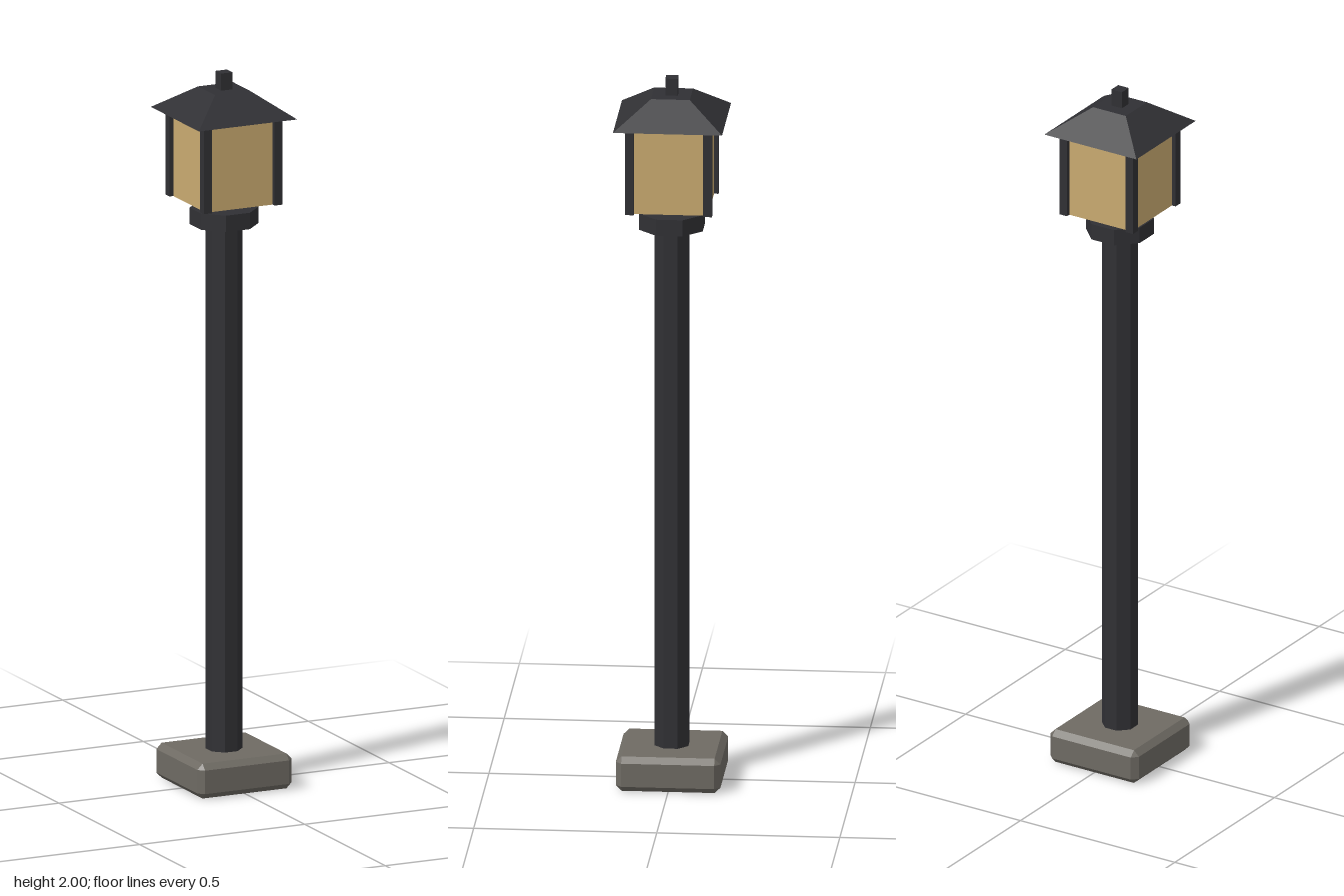
import * as THREE from 'three';
import { ConvexGeometry } from 'three/addons/geometries/ConvexGeometry.js';

const flat = (color) => new THREE.MeshStandardMaterial({ color, flatShading: true });

// Prism or frustum with flat sides facing the axes; half-widths measured to the flats
function prism(sides, topHalf, bottomHalf, y0, y1) {
  const k = 1 / Math.cos(Math.PI / sides);
  return new THREE.CylinderGeometry(topHalf * k, bottomHalf * k, y1 - y0, sides)
    .rotateY(Math.PI / sides)
    .translate(0, (y0 + y1) / 2, 0);
}

// Box with every edge and corner chamfered
function chamferedBox(hx, hy, hz, c) {
  const points = [];
  for (const x of [-1, 1]) for (const y of [-1, 1]) for (const z of [-1, 1]) {
    points.push(
      new THREE.Vector3(x * hx, y * (hy - c), z * (hz - c)),
      new THREE.Vector3(x * (hx - c), y * hy, z * (hz - c)),
      new THREE.Vector3(x * (hx - c), y * (hy - c), z * hz),
    );
  }
  return new ConvexGeometry(points);
}

export function createModel() {
  const group = new THREE.Group();
  const metal = flat(0x303034);
  const stone = flat(0x6e6a63);
  const glass = flat(0xc9aa70);

  const add = (name, geometry, material, parent = group) => {
    const mesh = new THREE.Mesh(geometry, material);
    mesh.name = name;
    parent.add(mesh);
    return mesh;
  };

  // Foot and post
  add('base', chamferedBox(0.143, 0.049, 0.143, 0.016).translate(0, 0.049, 0), stone);
  add('pole', prism(8, 0.046, 0.046, 0.09, 1.58), metal);
  add('collar', prism(8, 0.087, 0.087, 1.573, 1.619), metal);

  // Lantern: glass body with a bar at each corner
  const lantern = new THREE.Group();
  lantern.name = 'lantern';
  group.add(lantern);
  add('glassBody', prism(4, 0.107, 0.107, 1.64, 1.883), glass, lantern);
  for (const x of [-1, 1]) for (const z of [-1, 1]) {
    const bar = new THREE.BoxGeometry(0.024, 0.243, 0.024);
    add('cornerBar', bar, metal, lantern).position.set(x * 0.107, 1.7615, z * 0.107);
  }

  // Hipped roof and finial
  add('roof', prism(4, 0.053, 0.149, 1.883, 1.952), metal, lantern);
  add('finial', prism(4, 0.017, 0.017, 1.945, 2), metal, lantern);

  return group;
}
